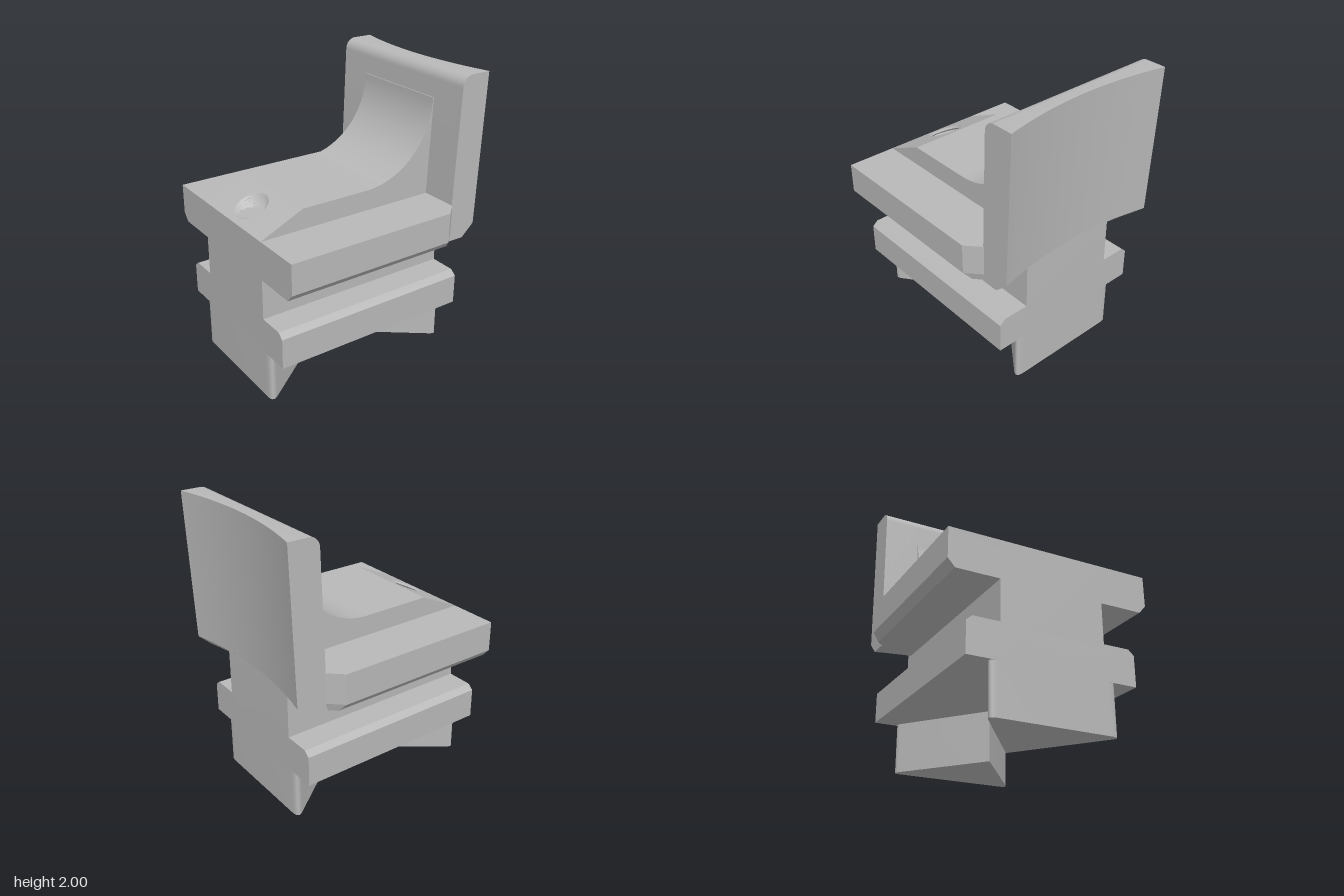
import * as THREE from 'three';
import { toCreasedNormals } from 'three/addons/utils/BufferGeometryUtils.js';
import { ConvexGeometry } from 'three/addons/geometries/ConvexGeometry.js';

const FRONT = 0.745, BACK = -0.675;
const HALF = 0.3615; // half width of the spine

const shapeOf = (pts) => new THREE.Shape(pts.map(([x, y]) => new THREE.Vector2(x, y)));

// Convex block from stacked rings, mirrored left to right; each ring is [y, [[x, z], ...]]
function mirroredHull(rings) {
  const pts = [];
  for (const [y, ring] of rings)
    for (const [x, z] of ring)
      for (const s of [-1, 1]) pts.push(new THREE.Vector3(s * x, y, z));
  return new ConvexGeometry(pts);
}

// Swept faces along a (z, y) profile, leaving out one segment
function profileStrip(profile, half, skip) {
  const pos = [];
  for (let i = 0; i < profile.length; i++) {
    if (i === skip) continue;
    const [z0, y0] = profile[i], [z1, y1] = profile[(i + 1) % profile.length];
    const a = [-half, y0, z0], b = [half, y0, z0], c = [half, y1, z1], d = [-half, y1, z1];
    pos.push(...a, ...b, ...c, ...a, ...c, ...d);
  }
  const g = new THREE.BufferGeometry();
  g.setAttribute('position', new THREE.Float32BufferAttribute(pos, 3));
  g.computeVertexNormals();
  return toCreasedNormals(g, 0.5);
}

// Back plate: side profile swept across the width, with its rear hollowed
function backPlateGeometry() {
  const half = 0.62, sag = 0.076, r = 0.075;
  const pts = [[-0.553, 0.865]];
  for (let i = 0; i <= 8; i++) {
    const t = (i / 8) * Math.PI / 2;
    pts.push([-0.592 - r + r * Math.cos(t), 2 - r + r * Math.sin(t)]);
  }
  pts.push([-0.807, 2], [-0.77, 0.95], [-0.678, 0.865]);
  const g = new THREE.ExtrudeGeometry(shapeOf(pts), { depth: 2 * half, steps: 32, bevelEnabled: false });
  g.translate(0, 0, -half).rotateY(-Math.PI / 2);
  const p = g.attributes.position;
  for (let i = 0; i < p.count; i++) {
    const hollow = sag * (1 - (p.getX(i) / half) ** 2);
    if (p.getZ(i) < -0.674) p.setZ(i, p.getZ(i) + hollow);
  }
  return toCreasedNormals(g, 0.4);
}

// Triangular foot with rounded outer corners, pointing inward along z
function footGeometry(base, tip) {
  const at = (t) => tip + (base - tip) * t, w = 0.455;
  const s = new THREE.Shape();
  s.moveTo(-0.375, base);
  s.lineTo(0.375, base);
  s.quadraticCurveTo(w, base, w * 0.91, at(0.91));
  s.lineTo(0, tip);
  s.lineTo(-w * 0.91, at(0.91));
  s.quadraticCurveTo(-w, base, -0.375, base);
  const g = new THREE.ExtrudeGeometry(s, { depth: 0.34, bevelEnabled: false, curveSegments: 10 });
  g.rotateX(Math.PI / 2).translate(0, 0.34, 0);
  return toCreasedNormals(g, 0.4);
}

export function createModel() {
  const model = new THREE.Group();
  model.name = 'clampJaw';
  const body = new THREE.Group();
  body.name = 'turnedBody';
  body.rotation.y = -Math.PI / 8;
  body.position.set(0.029, 0, 0.012);
  model.add(body);

  const metal = new THREE.MeshStandardMaterial({ color: 0xb8b8b8, side: THREE.DoubleSide });
  metal.name = 'plainGrey';
  const add = (name, geometry, parent = body) => {
    const m = new THREE.Mesh(geometry, metal);
    m.name = name;
    parent.add(m);
    return m;
  };

  // Spine: neck, sloped nose and the curved rise into the plate
  const profile = [[FRONT, 0.34], [FRONT, 1.13], [0.44, 1.27]];
  const R = 0.53;
  for (let i = 0; i <= 24; i++) {
    const t = (i / 24) * Math.PI / 2;
    profile.push([-0.05 - R * Math.sin(t), 1.27 + R * (1 - Math.cos(t))]);
  }
  profile.push([-0.64, 1.8], [BACK, 0.94], [BACK, 0.34]);
  add('spine', profileStrip(profile, HALF, 1));
  for (const s of [-1, 1]) {
    const side = new THREE.ShapeGeometry(shapeOf(profile));
    side.rotateY(-Math.PI / 2).translate(s * HALF, 0, 0);
    add('spineSide', side);
  }

  // Sloped nose face with the threaded hole square to it
  const slope = new THREE.Group();
  slope.name = 'slopedNose';
  slope.position.set(0, 1.13, FRONT);
  slope.rotation.x = Math.atan2(-0.305, 0.14);
  body.add(slope);
  const len = Math.hypot(0.305, 0.14), holeY = 0.161, holeR = 0.122;
  const face = shapeOf([[-HALF, 0], [HALF, 0], [HALF, len], [-HALF, len]]);
  const hole = new THREE.Path();
  hole.absarc(0, holeY, holeR, 0, Math.PI * 2, true);
  face.holes.push(hole);
  add('noseFace', new THREE.ShapeGeometry(face, 20), slope);

  const thread = [new THREE.Vector2(0, -0.5)];
  const turns = 20;
  for (let i = 0; i <= turns * 2; i++)
    thread.push(new THREE.Vector2(i % 2 ? 0.104 : holeR, -0.5 + (0.5 * i) / (turns * 2)));
  const threadGeometry = toCreasedNormals(new THREE.LatheGeometry(thread, 40), 0.5);
  threadGeometry.rotateX(Math.PI / 2).translate(0, holeY, 0);
  add('threadedHole', threadGeometry, slope);

  // Upper flange, chamfered underneath and at the rear corners
  const upper = [[0.7085, FRONT], [0.7085, -0.472], [0.618, -0.57]];
  add('upperFlange', mirroredHull([
    [1.13, upper],
    [0.92, upper],
    [0.865, [[0.66, FRONT], [0.66, -0.5], [0.595, -0.57]]],
  ]));

  // Lower flange, chamfered on top
  const lower = (w) => [[w, FRONT], [w, BACK]];
  add('lowerFlange', mirroredHull([[0.34, lower(0.585)], [0.55, lower(0.585)], [0.585, lower(0.545)]]));

  add('backPlate', backPlateGeometry());
  add('frontFoot', footGeometry(FRONT, 0.139));
  add('backFoot', footGeometry(BACK, -0.082));

  return model;
}
